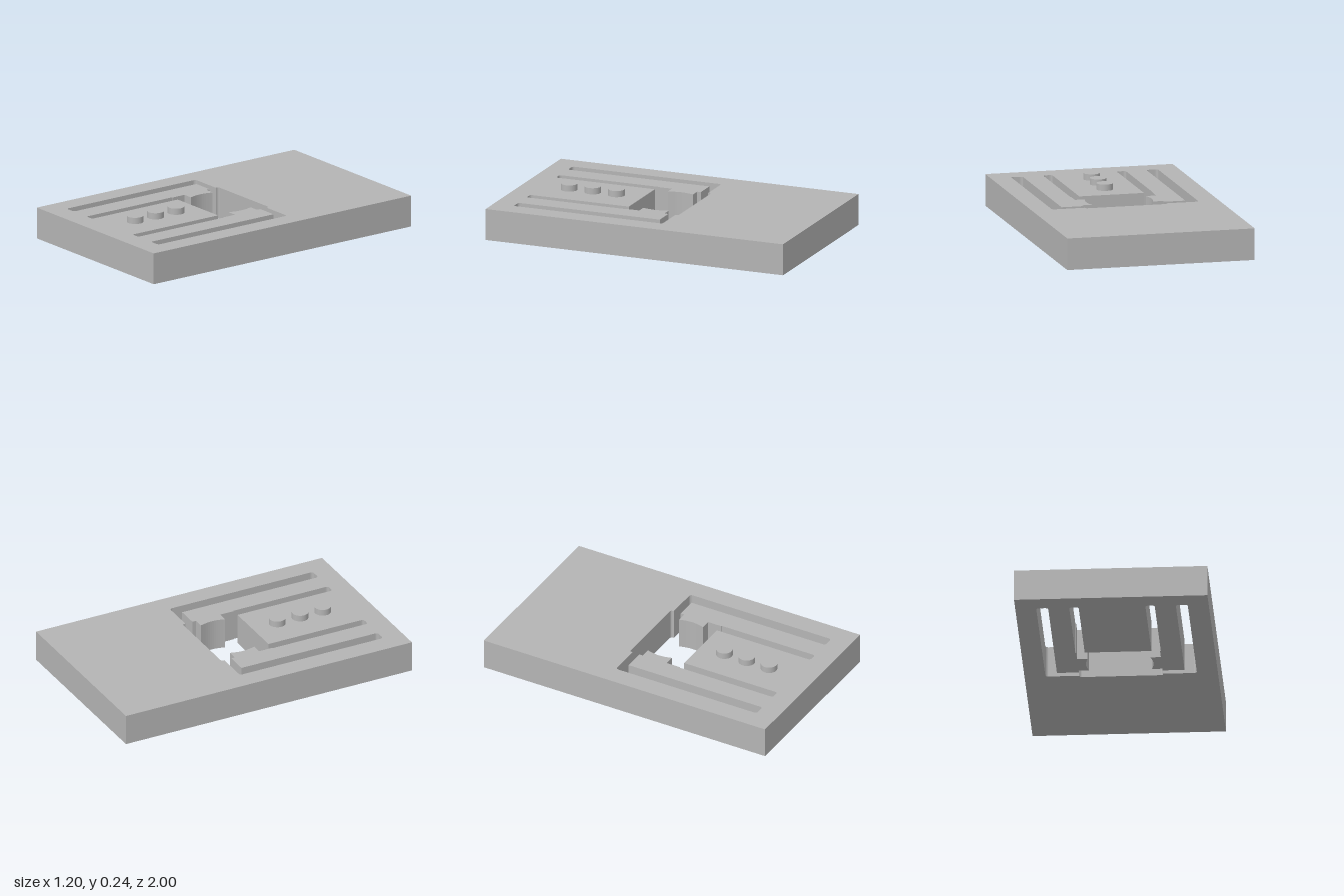
import * as THREE from 'three';

const THICKNESS = 0.2;

// Closed path through [x, z, radius] corners; corners with a radius are rounded.
function roundedPath(corners) {
  const path = new THREE.Path();
  const pts = corners.map(([x, z]) => new THREE.Vector2(x, -z));
  const n = pts.length;
  pts.forEach((p, i) => {
    const r = corners[i][2] || 0;
    const toward = (q) => p.clone().add(q.clone().sub(p).setLength(r));
    const a = r ? toward(pts[(i + n - 1) % n]) : p;
    if (i === 0) path.moveTo(a.x, a.y);
    else path.lineTo(a.x, a.y);
    if (r) {
      const b = toward(pts[(i + 1) % n]);
      path.quadraticCurveTo(p.x, p.y, b.x, b.y);
    }
  });
  path.closePath();
  return path;
}

export function createModel() {
  const group = new THREE.Group();
  const grey = new THREE.MeshStandardMaterial({ color: 0xb4b4b4 });
  grey.name = 'grey';

  // Concave inner face of the clip head
  const headFace = [];
  for (let i = 0; i <= 12; i++) {
    const t = i / 12;
    headFace.push([0.195 + 0.015 * Math.sin(Math.PI * t), -0.06 + 0.17 * t]);
  }

  // One half of the cut-out that frees the two spring arms and the tongue
  const half = [
    [0.26, -0.154, 0.015], [0.26, -0.134],
    [0.47, -0.134, 0.02], [0.47, 0.867, 0.02],
    [0.396, 0.867, 0.02], [0.396, -0.085],
    [0.26, -0.085], [0.26, -0.06],
    ...headFace,
    [0.26, 0.11], [0.26, 0.203], [0.265, 0.203],
    [0.265, 0.867, 0.02], [0.207, 0.867, 0.02], [0.207, 0.203],
  ];
  const mirrored = half.map(([x, z, r]) => [-x, z, r]).reverse();

  // Plate with the cut-out
  const outline = new THREE.Shape([
    new THREE.Vector2(-0.6, -1), new THREE.Vector2(0.6, -1),
    new THREE.Vector2(0.6, 1), new THREE.Vector2(-0.6, 1),
  ]);
  outline.holes.push(roundedPath([...half, ...mirrored]));
  const plateGeometry = new THREE.ExtrudeGeometry(outline, {
    depth: THICKNESS, bevelEnabled: false, curveSegments: 8,
  });
  plateGeometry.rotateX(-Math.PI / 2);
  const plate = new THREE.Mesh(plateGeometry, grey);
  plate.name = 'plate';
  group.add(plate);

  // Grip studs on the tongue
  const studGeometry = new THREE.CylinderGeometry(0.052, 0.052, 0.04, 40);
  [0.373, 0.532, 0.69].forEach((z, i) => {
    const stud = new THREE.Mesh(studGeometry, grey);
    stud.name = `gripStud${i + 1}`;
    stud.position.set(0, THICKNESS + 0.02, z);
    group.add(stud);
  });

  return group;
}
